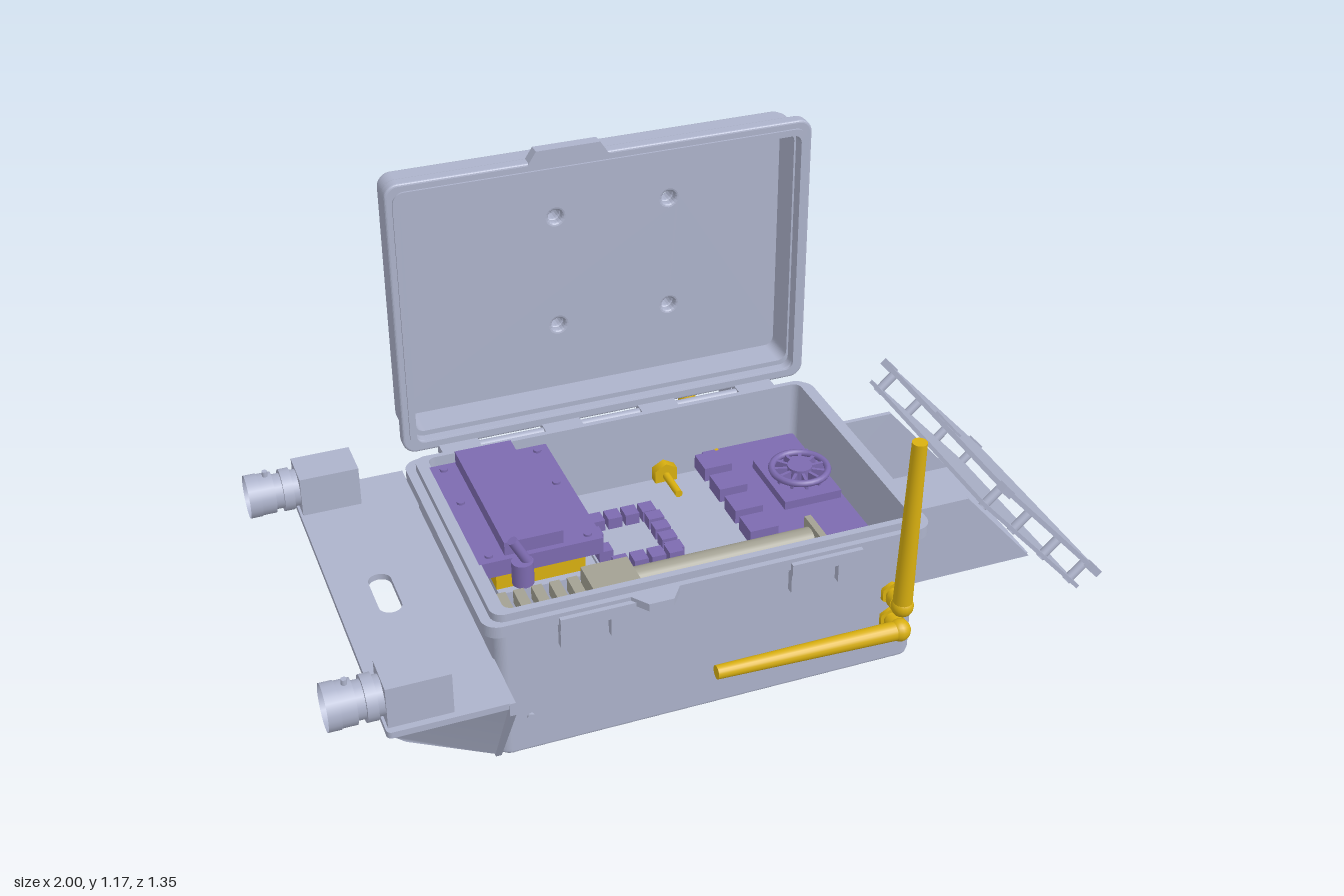
import * as THREE from 'three';

const mat = (name, color) => Object.assign(new THREE.MeshStandardMaterial({ color, side: THREE.DoubleSide }), { name });
const grey = mat('blue grey', 0xadb3cb);
const purple = mat('purple', 0x7d6bb0);
const gold = mat('gold', 0xd9b010);
const tan = mat('tan', 0xa3a193);

export function createModel() {
  const root = new THREE.Group();
  const V = (a) => new THREE.Vector3(...a);

  const add = (name, geo, m = grey, parent = root) => {
    const mesh = new THREE.Mesh(geo, m);
    mesh.name = name;
    parent.add(mesh);
    return mesh;
  };
  // Box given by its extents on each axis
  const box = (name, x0, x1, y0, y1, z0, z1, m = grey, parent = root) =>
    add(name, new THREE.BoxGeometry(x1 - x0, y1 - y0, z1 - z0)
      .translate((x0 + x1) / 2, (y0 + y1) / 2, (z0 + z1) / 2), m, parent);
  // Round bar between two points
  const rod = (name, a, b, r0, r1 = r0, m = grey, parent = root, sides = 20) => {
    const p = V(a), d = V(b).sub(p);
    const mesh = add(name, new THREE.CylinderGeometry(r1, r0, d.length(), sides), m, parent);
    mesh.position.copy(p).addScaledVector(d, 0.5);
    mesh.quaternion.setFromUnitVectors(new THREE.Vector3(0, 1, 0), d.normalize());
    return mesh;
  };
  const rounded = (x0, x1, y0, y1, r, S = THREE.Shape) => {
    const s = new S();
    s.absarc(x1 - r, y1 - r, r, 0, Math.PI / 2);
    s.absarc(x0 + r, y1 - r, r, Math.PI / 2, Math.PI);
    s.absarc(x0 + r, y0 + r, r, Math.PI, Math.PI * 1.5);
    s.absarc(x1 - r, y0 + r, r, Math.PI * 1.5, Math.PI * 2);
    s.closePath();
    return s;
  };
  const extrude = (shape, depth, bevel = 0) => new THREE.ExtrudeGeometry(shape, {
    depth: depth - 2 * bevel, bevelEnabled: bevel > 0, bevelSize: bevel, bevelOffset: -bevel,
    bevelThickness: bevel, bevelSegments: 3, curveSegments: 8,
  }).translate(0, 0, bevel);
  const frame = (o, i, r) => {
    const s = rounded(...o, r);
    s.holes.push(rounded(...i, r * 0.7, THREE.Path));
    return s;
  };
  const poly = (pts) => new THREE.Shape(pts.map((p) => new THREE.Vector2(...p)));
  const flat = (geo, y) => geo.rotateX(-Math.PI / 2).translate(0, y, 0);
  const circle = (x, y, r) => new THREE.Path().absarc(x, y, r, 0, Math.PI * 2);

  // Lower case: floor, walls and rim (shape y is -z)
  add('caseFloor', flat(extrude(rounded(-0.595, 0.457, -0.528, 0.147, 0.03), 0.025, 0.008), 0.008));
  add('caseWalls', flat(extrude(frame([-0.597, 0.459, -0.53, 0.149], [-0.565, 0.44, -0.512, 0.135], 0.03), 0.39), 0.025));
  add('caseRim', flat(extrude(frame([-0.62, 0.485, -0.545, 0.172], [-0.59, 0.46, -0.525, 0.148], 0.04), 0.03), 0.365));
  box('mountingPlate', -0.56, 0.435, 0.2, 0.212, -0.13, 0.51);
  for (const x of [-0.56, 0.42]) for (const z of [-0.11, 0.49])
    rod('foot', [x, 0, z], [x, 0.012, z], 0.025);

  // Front clasps and latch tabs
  for (const c of [-0.36, 0.205]) {
    box('clasp', c - 0.09, c + 0.09, 0.355, 0.385, 0.53, 0.557);
    for (const s of [-1, 1]) box('claspLeg', c + s * 0.06 - 0.028, c + s * 0.06 + 0.028, 0.3, 0.36, 0.53, 0.548);
  }
  add('caseLatchTab', flat(extrude(poly([[-0.29, -0.53], [-0.25, -0.585], [-0.19, -0.585], [-0.15, -0.53]]), 0.02), 0.375));
  for (const x of [-0.52, 0.36]) rod('frontScrew', [x, 0.11, 0.525], [x, 0.11, 0.536], 0.009);

  // Open lid: flange, walls and pierced back
  const boltHoles = () => [-0.16, 0.14].flatMap((x) => [0.625, 0.93].map((y) => circle(x, y, 0.018)));
  add('lidFlange', extrude(frame([-0.61, 0.475, 0.405, 1.14], [-0.575, 0.445, 0.432, 1.103], 0.035), 0.035, 0.006).translate(0, 0, -0.222));
  add('lidLip', extrude(frame([-0.592, 0.46, 0.42, 1.12], [-0.575, 0.445, 0.432, 1.103], 0.03), 0.01).translate(0, 0, -0.192));
  add('lidWalls', extrude(frame([-0.598, 0.463, 0.425, 1.115], [-0.57, 0.44, 0.445, 1.098], 0.035), 0.09).translate(0, 0, -0.305));
  const back = rounded(-0.595, 0.46, 0.43, 1.112, 0.035);
  back.holes.push(...boltHoles());
  add('lidBack', extrude(back, 0.026, 0.008).translate(0, 0, -0.328));
  add('lidLatchTab', extrude(poly([[-0.265, 1.13], [-0.24, 1.168], [-0.08, 1.168], [-0.055, 1.13]]), 0.03).translate(0, 0, -0.217));
  rod('hingePin', [-0.52, 0.395, -0.175], [0.38, 0.395, -0.175], 0.014);
  for (const x of [-0.47, -0.2, 0.06, 0.33]) box('hingeKnuckle', x - 0.05, x + 0.05, 0.37, 0.412, -0.2, -0.145);

  // Support arms between case and lid
  const arm = [[-0.145, 0.34], [-0.2, 0.39], [-0.3, 0.42], [-0.322, 0.55], [-0.336, 0.55], [-0.326, 0.42],
    [-0.29, 0.345], [-0.22, 0.11], [-0.2, 0.07], [-0.18, 0.06], [-0.15, 0.07]];
  for (const x of [-0.41, 0.36])
    add('lidArm', extrude(poly(arm), 0.08).rotateY(-Math.PI / 2).translate(x, 0, 0));

  // Lamp on the lid back: plate, body and radial cooling fins
  const lamp = new THREE.Group();
  lamp.name = 'finnedLamp';
  root.add(lamp);
  const plate = rounded(-0.212, 0.195, 0.572, 0.98, 0.04);
  plate.holes.push(...boltHoles());
  add('lampPlate', extrude(plate, 0.04, 0.008).translate(0, 0, -0.366), grey, lamp);
  add('lampPad', extrude(rounded(-0.165, 0.148, 0.62, 0.935, 0.1), 0.04, 0.008).translate(0, 0, -0.402), grey, lamp);
  for (const x of [-0.19, 0.175]) for (const y of [0.6, 0.955])
    rod('plateBoss', [x, y, -0.36], [x, y, -0.4], 0.016, 0.016, grey, lamp);
  const profile = [[0, 0.39], [0.15, 0.39], [0.14, 0.44], [0.128, 0.47], [0.128, 0.5], [0.138, 0.505], [0.138, 0.59], [0.128, 0.6], [0, 0.6]]
    .map((p) => new THREE.Vector2(...p));
  const body = add('lampBody', new THREE.LatheGeometry(profile, 24).toNonIndexed().rotateX(-Math.PI / 2), grey, lamp);
  body.geometry.computeVertexNormals();
  body.position.set(-0.008, 0.778, 0);
  rod('lampCore', [-0.008, 0.778, -0.59], [-0.008, 0.778, -0.645], 0.065, 0.05, grey, lamp);
  for (let i = 0; i < 24; i++) {
    const fin = new THREE.Group();
    fin.name = 'coolingFin';
    fin.position.set(-0.008, 0.778, 0);
    fin.rotation.z = (i / 24) * Math.PI * 2;
    box('headFin', 0.035, 0.152, -0.005, 0.005, -0.68, -0.595, grey, fin);
    add('baseFin', extrude(poly([[0.11, -0.4], [0.168, -0.4], [0.158, -0.44], [0.132, -0.49], [0.11, -0.49]]), 0.012)
      .rotateX(Math.PI / 2).translate(0, 0.006, 0), grey, fin);
    lamp.add(fin);
  }
  // Cable coupling below the lamp
  box('couplingBlock', -0.07, 0.05, 0.47, 0.58, -0.4, -0.33, grey, lamp);
  box('couplingFlange', -0.055, 0.035, 0.45, 0.568, -0.462, -0.4, grey, lamp);
  rod('couplingSleeve', [-0.01, 0.51, -0.46], [-0.01, 0.51, -0.466], 0.035, 0.035, grey, lamp);

  // Antennas: nut and stub on the wall, then a swivelled tapering rod
  const antenna = (name, wall, elbow, tip, r0, r1) => {
    const g = new THREE.Group();
    g.name = name;
    root.add(g);
    const w = V(wall), e = V(elbow);
    const at = (t) => w.clone().lerp(e, t).toArray();
    rod('stub', wall, elbow, 0.018, 0.018, gold, g);
    rod('nut', at(0.05), at(0.3), 0.03, 0.03, gold, g, 6);
    rod('collar', at(0.5), at(0.8), 0.026, 0.026, gold, g);
    add('elbow', new THREE.SphereGeometry(0.028, 16, 12), gold, g).position.copy(e);
    rod('antennaRod', elbow, tip, r0, r1, gold, g);
  };
  antenna('frontUprightAntenna', [0.39, 0.218, 0.52], [0.39, 0.218, 0.59], [0.393, 0.69, 0.606], 0.024, 0.018);
  antenna('frontLevelAntenna', [0.39, 0.142, 0.52], [0.39, 0.142, 0.586], [-0.085, 0.152, 0.586], 0.024, 0.017);
  antenna('backUprightAntenna', [0.21, 0.175, -0.14], [0.21, 0.175, -0.315], [0.213, 0.56, -0.418], 0.03, 0.012);
  antenna('backLevelAntenna', [0.06, 0.175, -0.14], [0.06, 0.175, -0.315], [-0.33, 0.178, -0.415], 0.03, 0.012);
  for (const [x, z] of [[0.06, -0.02], [0.21, -0.11]]) {
    rod('socketNut', [x, 0.23, -0.136], [x, 0.23, -0.11], 0.035, 0.035, gold, root, 6);
    rod('socketPin', [x, 0.23, -0.12], [x, 0.23, z], 0.01, 0.01, gold);
  }

  // Camera shelf on the right side with tapering cheeks
  const shelf = rounded(-0.88, -0.6, -0.67, 0.3, 0.012);
  shelf.holes.push(rounded(-0.79, -0.735, -0.265, -0.11, 0.027, THREE.Path));
  add('cameraShelf', flat(extrude(shelf, 0.016), 0.268));
  add('shelfBackPlate', extrude(poly([[-0.3, 0.284], [0.672, 0.284], [0.672, 0.25], [0.53, 0.015], [-0.145, 0.015], [-0.29, 0.23]]), 0.014)
    .rotateY(-Math.PI / 2).translate(-0.594, 0, 0));
  for (const [top, low] of [[0.665, 0.525], [-0.295, -0.14]]) {
    const cheek = new THREE.BufferGeometry();
    cheek.setAttribute('position', new THREE.Float32BufferAttribute(
      [-0.87, 0.27, top, -0.6, 0.27, top, -0.6, 0.015, low, -0.84, 0.245, top], 3));
    cheek.setIndex([0, 2, 1, 0, 3, 2]);
    cheek.computeVertexNormals();
    add('shelfCheek', cheek);
  }

  // Cameras
  for (const z of [-0.235, 0.608]) {
    const g = new THREE.Group();
    g.name = 'camera';
    root.add(g);
    box('cameraBody', -0.875, -0.728, 0.29, 0.395, z - 0.052, z + 0.052, grey, g);
    box('cameraFoot', -0.84, -0.76, 0.283, 0.292, z - 0.035, z + 0.035, grey, g);
    rod('cameraSocket', [-0.73, 0.343, z], [-0.722, 0.343, z], 0.022, 0.022, grey, g);
    for (const [a, b, r] of [[0.87, 0.89, 0.046], [0.89, 0.915, 0.053], [0.915, 0.935, 0.044], [0.935, 0.97, 0.052], [0.97, 0.985, 0.048]])
      rod('lensRing', [-a, 0.343, z], [-b, 0.343, z], r, r, grey, g, 24);
    add('lensHood', new THREE.CylinderGeometry(0.054, 0.054, 0.03, 24, 1, true).rotateZ(Math.PI / 2), grey, g).position.set(-0.985, 0.343, z);
    rod('lensScrew', [-0.95, 0.39, z], [-0.95, 0.408, z], 0.007, 0.007, grey, g);
  }

  // Side bracket and tilted double panel on the left
  box('bracketFloor', 0.455, 0.86, 0.1, 0.112, -0.05, 0.385);
  for (const z of [-0.05, 0.373])
    add('bracketCheek', extrude(poly([[0.455, 0.1], [0.865, 0.1], [0.67, 0.325], [0.455, 0.325]]), 0.012).translate(0, 0, z));
  box('sideConnector', 0.455, 0.555, 0.24, 0.31, 0.225, 0.32);
  const panel = new THREE.Group();
  panel.name = 'tiltedPanel';
  panel.position.set(0.817, 0.245, 0.193);
  panel.rotation.z = -0.83;
  root.add(panel);
  box('panelFront', -0.225, 0.23, 0.024, 0.036, -0.306, 0.306, grey, panel);
  box('panelBack', -0.225, 0.225, -0.036, -0.026, -0.306, 0.306, grey, panel);
  for (const x of [-0.2, -0.07, 0.07, 0.2]) for (const z of [-0.285, 0.285])
    rod('standoff', [x, -0.04, z], [x, 0.03, z], 0.012, 0.012, grey, panel);
  for (const x of [-0.21, 0.21]) for (const z of [-0.31, 0.31])
    box('cornerTab', x - 0.018, x + 0.018, 0.02, 0.04, z - 0.014, z + 0.014, grey, panel);
  box('panelClip', -0.215, -0.19, 0.036, 0.042, -0.05, 0.05, grey, panel);

  // Power unit with its supports
  box('powerUnit', -0.57, -0.27, 0.372, 0.415, -0.095, 0.335, purple);
  box('powerUnitCover', -0.505, -0.362, 0.415, 0.45, -0.09, 0.32, purple);
  for (const x of [-0.54, -0.3]) for (const z of [-0.07, 0.08, 0.31])
    rod('unitScrew', [x, 0.412, z], [x, 0.421, z], 0.01, 0.01, purple);
  for (const z of [-0.04, 0.1, 0.24]) box('terminalBlock', -0.52, -0.3, 0.3, 0.37, z - 0.05, z + 0.05, gold);
  box('unitStand', -0.52, -0.32, 0.21, 0.3, -0.08, 0.31);
  rod('leverBase', [-0.475, 0.36, 0.36], [-0.475, 0.42, 0.36], 0.026, 0.026, purple);
  rod('lever', [-0.46, 0.41, 0.36], [-0.497, 0.482, 0.36], 0.012, 0.012, purple);

  // Small relay board
  box('relayBoard', -0.25, -0.03, 0.255, 0.265, 0.05, 0.312);
  for (let i = 0; i < 4; i++) {
    const x = -0.205 + i * 0.045, z = 0.13 + i * 0.045;
    for (const rowZ of [0.09, 0.275]) box('relay', x - 0.018, x + 0.018, 0.265, 0.295, rowZ - 0.02, rowZ + 0.02, purple);
    box('sideRelay', -0.085, -0.045, 0.265, 0.295, z - 0.017, z + 0.017, purple);
  }
  for (const z of [0.145, 0.215]) box('relay', -0.245, -0.21, 0.265, 0.295, z - 0.018, z + 0.018, purple);

  // Computer board with fan
  box('computerBoard', 0.17, 0.43, 0.25, 0.262, -0.135, 0.32, purple);
  for (const z of [-0.04, 0.06, 0.16, 0.255]) box('port', 0.125, 0.2, 0.262, 0.3, z - 0.035, z + 0.035, purple);
  box('heatSink', 0.265, 0.42, 0.262, 0.285, -0.02, 0.185, purple);
  add('fanRing', new THREE.TorusGeometry(0.072, 0.009, 8, 32).rotateX(Math.PI / 2), purple).position.set(0.35, 0.305, 0.083);
  rod('fanHub', [0.35, 0.28, 0.083], [0.35, 0.315, 0.083], 0.032, 0.032, purple);
  for (let i = 0; i < 11; i++) {
    const blade = box('fanBlade', 0.03, 0.07, 0.285, 0.308, -0.004, 0.004, purple);
    blade.position.set(0.35, 0, 0.083);
    blade.rotation.y = (i / 11) * Math.PI * 2;
  }

  // Battery holder along the front wall
  box('holderBase', -0.34, 0.245, 0.26, 0.3, 0.372, 0.515, tan);
  for (const [a, b] of [[-0.34, -0.225], [0.228, 0.245]]) box('holderEnd', a, b, 0.3, 0.375, 0.372, 0.515, tan);
  for (const z of [0.41, 0.478]) rod('batteryCell', [-0.225, 0.33, z], [0.228, 0.33, z], 0.033, 0.033, tan);
  box('terminalRail', -0.565, -0.34, 0.3, 0.34, 0.43, 0.515, tan);
  for (let i = 0; i < 5; i++) box('railClip', -0.555 + i * 0.043, -0.53 + i * 0.043, 0.34, 0.375, 0.4, 0.47, tan);

  return root;
}
